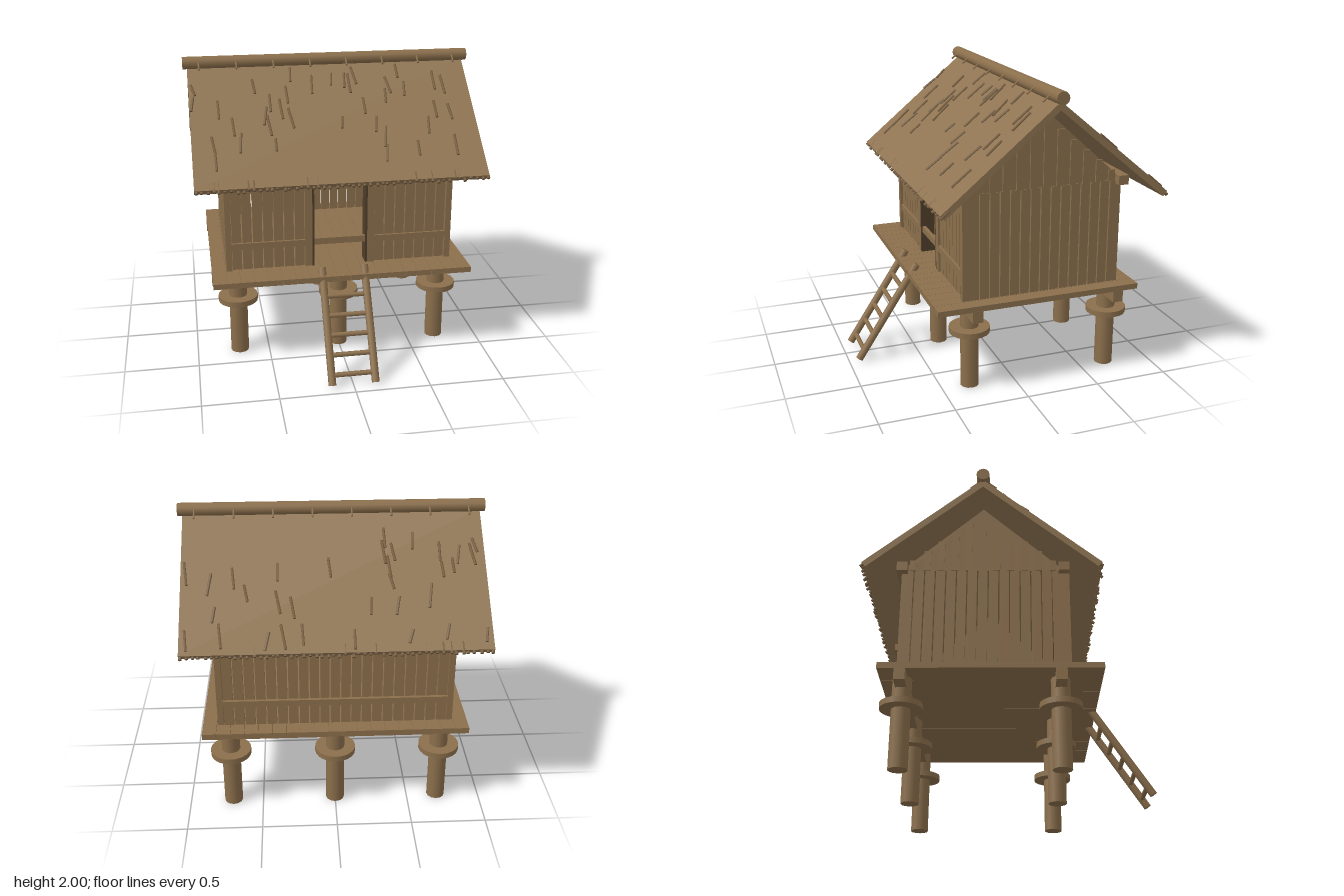
import * as THREE from 'three';

const mat = (name, color) => Object.assign(new THREE.MeshStandardMaterial({ color }), { name });

export function createModel() {
  const wood = mat('wood', 0x8b6f4c);
  const thatch = mat('thatch', 0x8f7452);
  const reed = mat('reed', 0x7a6142);
  const darkWood = mat('darkWood', 0x4f3e2a);
  const hut = new THREE.Group();
  hut.name = 'stiltHut';

  let seed = 7;
  const rand = () => (seed = (seed * 16807) % 2147483647) / 2147483647;

  const add = (parent, name, geo, m, x, y, z) => {
    const mesh = new THREE.Mesh(geo, m);
    mesh.name = name;
    mesh.position.set(x, y, z);
    parent.add(mesh);
    return mesh;
  };
  // Box given by its limits on each axis
  const box = (name, x0, x1, y0, y1, z0, z1, m = wood, parent = hut) =>
    add(parent, name, new THREE.BoxGeometry(x1 - x0, y1 - y0, z1 - z0), m,
      (x0 + x1) / 2, (y0 + y1) / 2, (z0 + z1) / 2);
  // Round pole between two points
  const pole = (name, a, b, r, sides, m = wood, parent = hut) => {
    const p = new THREE.Vector3(...a), q = new THREE.Vector3(...b);
    const dir = q.clone().sub(p);
    const mid = p.clone().add(q).multiplyScalar(0.5);
    const mesh = add(parent, name, new THREE.CylinderGeometry(r, r, dir.length(), sides), m, mid.x, mid.y, mid.z);
    mesh.quaternion.setFromUnitVectors(new THREE.Vector3(0, 1, 0), dir.normalize());
    return mesh;
  };

  const ridgeZ = -0.19, floorY = 0.635, wallTop = 1.345;

  // Stilts with round rat guards, and the beams on top
  for (const z of [0.305, -0.688]) {
    for (const x of [-0.705, 0, 0.705]) {
      pole('stilt', [x, 0, z], [x, 0.597, z], 0.062, 12);
      pole('ratGuard', [x, 0.39, z], [x, 0.428, z], 0.136, 20);
    }
    box('floorBeam', -0.88, 0.88, 0.52, 0.6, z - 0.035, z + 0.035);
  }

  // Floor planks
  const floorCount = 19, floorStep = 1.76 / floorCount;
  for (let i = 0; i < floorCount; i++) {
    const x = -0.88 + i * floorStep;
    box('floorPlank', x + 0.001, x + floorStep - 0.001, 0.597, floorY, -0.83, 0.57);
  }

  // Rows of wall planks with narrow gaps
  const gap = 0.004;
  const planksX = (name, x0, x1, n, z0, z1) => {
    const w = (x1 - x0) / n;
    for (let i = 0; i < n; i++)
      box(name, x0 + i * w + gap, x0 + (i + 1) * w - gap, floorY, wallTop, z0, z1);
  };
  for (const s of [-1, 1]) {
    const range = s < 0 ? [-0.74, -0.24] : [0.24, 0.74];
    planksX('frontPlank', ...range, 7, 0.325, 0.355);
    planksX('backPlank', ...range, 7, -0.72, -0.69);
    box('frontRail', ...range, 0.785, 0.83, 0.355, 0.37);
    box('frontCornerPost', s * 0.76 - 0.02, s * 0.76 + 0.02, floorY, wallTop, 0.33, 0.375);
    box('backCornerPost', s * 0.76 - 0.02, s * 0.76 + 0.02, floorY, wallTop, -0.72, -0.68);
    box('doorPost', s * 0.215 - 0.025, s * 0.215 + 0.025, floorY, wallTop, 0.325, 0.37);
    box('doorJamb', s * 0.183 - 0.007, s * 0.183 + 0.007, floorY, wallTop, 0.27, 0.37, darkWood);
  }
  planksX('backPlank', -0.24, 0.24, 7, -0.72, -0.69);
  box('doorRail', -0.176, 0.176, 0.785, 0.83, 0.335, 0.36);
  box('backRail', -0.74, 0.74, 0.785, 0.828, -0.742, -0.72);

  // Side walls and gables
  const gable = new THREE.Shape([[0.305, wallTop], [0.305, 1.385], [ridgeZ, 1.83], [-0.685, 1.385], [-0.685, wallTop]]
    .map(([z, y]) => new THREE.Vector2(-z, y)));
  for (const s of [-1, 1]) {
    const [x0, x1] = s < 0 ? [-0.78, -0.75] : [0.75, 0.78];
    box('sideCornerBoard', x0, x1, floorY, wallTop, 0.265, 0.375);
    for (let i = 0; i < 14; i++) {
      const z = 0.262 - i * 0.0694;
      box('sidePlank', x0, x1, floorY, wallTop, z - 0.0694 + gap, z - gap);
    }
    const geo = new THREE.ExtrudeGeometry(gable, { depth: 0.02, bevelEnabled: false });
    geo.rotateY(Math.PI / 2);
    add(hut, 'gable', geo, wood, s * 0.765 - 0.01, 0, 0);
    for (let i = -5; i <= 5; i++) {
      const z = ridgeZ + i * 0.0915;
      const top = 1.79 - Math.abs(i) * 0.074;
      box('gableBatten', s * 0.78 - 0.006, s * 0.78 + 0.006, wallTop, top, z - 0.022, z + 0.022);
    }
  }

  // Wall plates under the roof
  box('frontWallPlate', -0.83, 0.83, 1.322, 1.385, 0.305, 0.375);
  box('backWallPlate', -0.83, 0.83, 1.322, 1.385, -0.75, -0.68);

  // Loose reeds: x and horizontal distance from the ridge, in hundredths
  const frontReeds = [-94, 16, -95, 25, -78, 29, -83, 50, -82, 60, -69, 40, -65, 50, -53, 15, -47, 34, -43, 26,
    -45, 40, -42, 52, -36, 30, -31, 21, -30, 36, -27, 8, -13, 15, 1, 12, 10, 13, 13, 15, 17, 10, 4, 40,
    21, 30, 27, 42, 32, 50, 37, 24, 40, 17, 31, 60, 51, 20, 53, 58, 48, 8, 63, 44, 73, 15, 79, 18, 70, 34, 80, 36, 79, 57];
  const backReeds = [-93, 69, -89, 26, -91, 21, -80, 26, -76, 32, -69, 67, -69, 34, -68, 24, -60, 48, -51, 18, -46, 69,
    -39, 53, -36, 40, -35, 32, -38, 24, -32, 24, -33, 16, -22, 53, -11, 70, 3, 32, 21, 67, 27, 53, 36, 50, 36, 34,
    33, 68, 43, 70, 56, 45, 64, 37, 72, 67, 76, 56, 79, 40, 94, 34, 93, 69];

  // Roof slopes, each built flat along +z and then tilted
  const pitch = 0.693, slope = 0.995;
  for (const side of [1, -1]) {
    const turn = new THREE.Group();
    turn.name = side > 0 ? 'frontRoof' : 'backRoof';
    turn.position.set(0, 1.931, ridgeZ);
    turn.rotation.y = side > 0 ? 0 : Math.PI;
    const roof = new THREE.Group();
    roof.name = 'roofSlope';
    roof.rotation.x = pitch;
    turn.add(roof);
    hut.add(turn);
    box('thatchSlab', -0.97, 0.97, -0.042, 0, 0, slope, thatch, roof);

    const list = side > 0 ? frontReeds : backReeds;
    for (let i = 0; i < list.length; i += 2) {
      const x = side * list[i] / 100;
      const s = list[i + 1] / 100 / Math.cos(pitch);
      const half = 0.045 + rand() * 0.04, lean = (rand() - 0.5) * 0.03;
      pole('looseReed', [x - lean, 0.004, Math.max(0.02, s - half)], [x + lean, 0.004, Math.min(slope, s + half)],
        0.009, 6, reed, roof);
    }
    // Reed ends along the eave
    for (let i = 0; i < 52; i++) {
      const x = -0.96 + i * 1.92 / 51 + (rand() - 0.5) * 0.015;
      const y = -0.008 - rand() * 0.022;
      pole('eaveReed', [x, y, slope - 0.06], [x, y, slope + 0.008 + rand() * 0.014], 0.011, 6, reed, roof);
    }
  }

  // Ridge log and the crossed pins that hold it
  pole('ridgeLog', [-1, 1.956, ridgeZ], [1, 1.956, ridgeZ], 0.043, 12);
  for (let i = 0; i < 8; i++) {
    const x = -0.89 + i * 0.2543;
    for (const s of [-1, 1])
      pole('ridgePin', [x, 1.988, ridgeZ + s * 0.005], [x, 1.922, ridgeZ + s * 0.085], 0.007, 6);
  }

  // Ladder
  const foot = [0.93, 0.018], head = [0.5, 0.675];
  for (const x of [-0.145, 0.145])
    pole('ladderRail', [x, foot[1], foot[0]], [x, head[1], head[0]], 0.026, 10);
  for (let i = 0; i < 5; i++) {
    const y = 0.075 + i * 0.109;
    const z = foot[0] + (head[0] - foot[0]) * (y - foot[1]) / (head[1] - foot[1]);
    pole('ladderRung', [-0.145, y, z], [0.145, y, z], 0.017, 8);
  }
  return hut;
}
